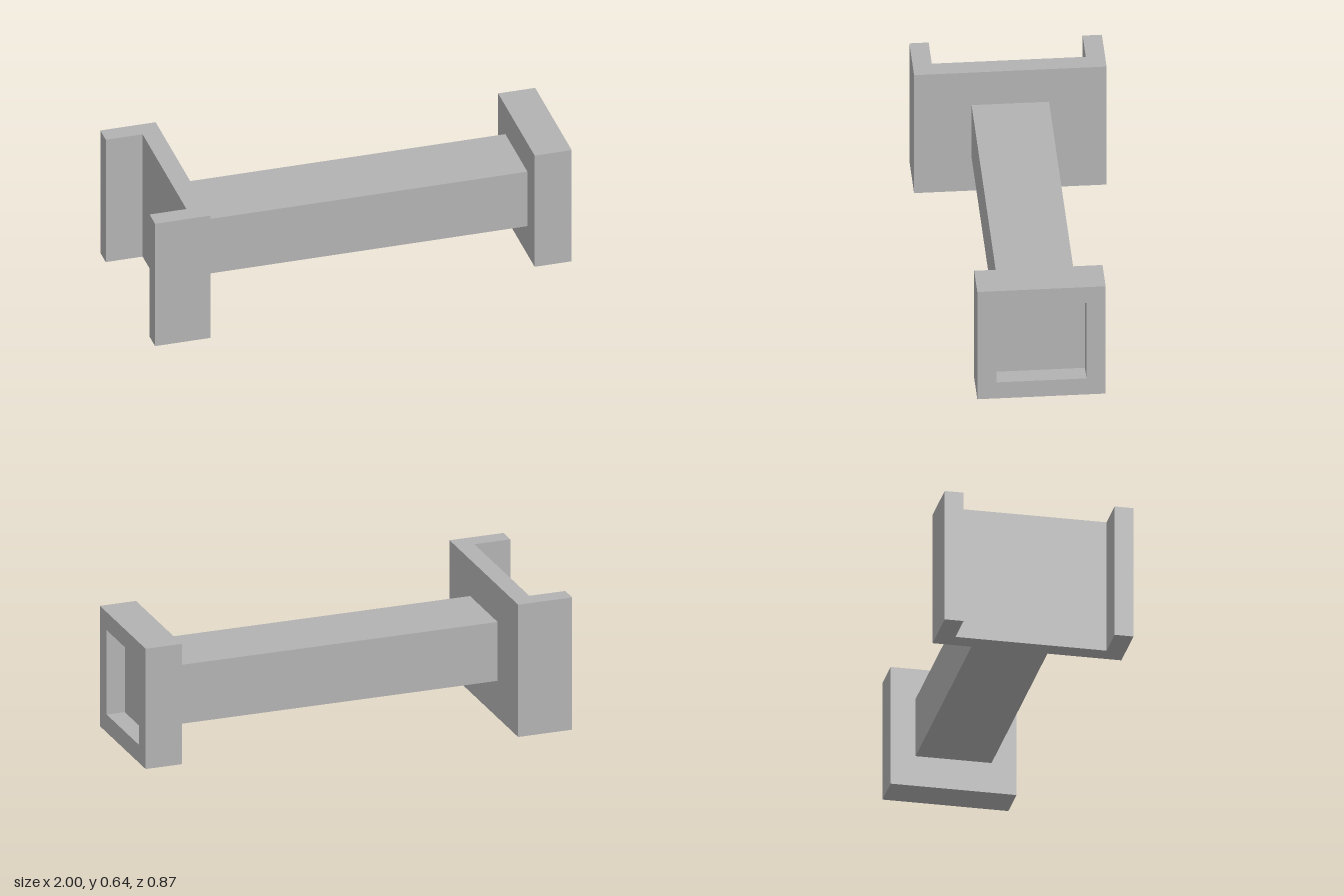
import * as THREE from 'three';

const grey = new THREE.MeshStandardMaterial({ color: 0xb2b2b2 });
grey.name = 'plain grey';

const polygon = (Type, points) => new Type(points.map(([x, y]) => new THREE.Vector2(x, y)));
const rectangle = (w, h) => [[-w / 2, -h / 2], [w / 2, -h / 2], [w / 2, h / 2], [-w / 2, h / 2]];
const extrude = (shape, depth) => new THREE.ExtrudeGeometry(shape, { depth, bevelEnabled: false });

export function createModel() {
  const model = new THREE.Group();
  model.name = 'beamWithEndFittings';
  const midY = 0.32;

  const add = (name, geometry, x, y) => {
    const mesh = new THREE.Mesh(geometry, grey);
    mesh.name = name;
    mesh.position.set(x, y, 0);
    model.add(mesh);
  };

  // Upright U-shaped channel, open towards -x
  const channel = polygon(THREE.Shape, [
    [-1, -0.435], [-0.74, -0.435], [-0.74, 0.435], [-1, 0.435],
    [-1, 0.348], [-0.827, 0.348], [-0.827, -0.348], [-1, -0.348],
  ]);
  add('channelBracket', extrude(channel, 0.638).rotateX(-Math.PI / 2), 0, 0);

  // Long connecting bar
  add('connectingBar', new THREE.BoxGeometry(1.566, 0.284, 0.35), 0.043, midY);

  // Square end block: solid back with a hollow rim, open towards +x
  const block = polygon(THREE.Shape, rectangle(0.58, 0.58));
  add('endBlockBack', extrude(block, 0.087).rotateY(Math.PI / 2), 0.826, midY);
  const rim = polygon(THREE.Shape, rectangle(0.58, 0.58));
  rim.holes.push(polygon(THREE.Path, rectangle(0.407, 0.407)));
  add('endBlockRim', extrude(rim, 0.087).rotateY(Math.PI / 2), 0.913, midY);

  return model;
}
